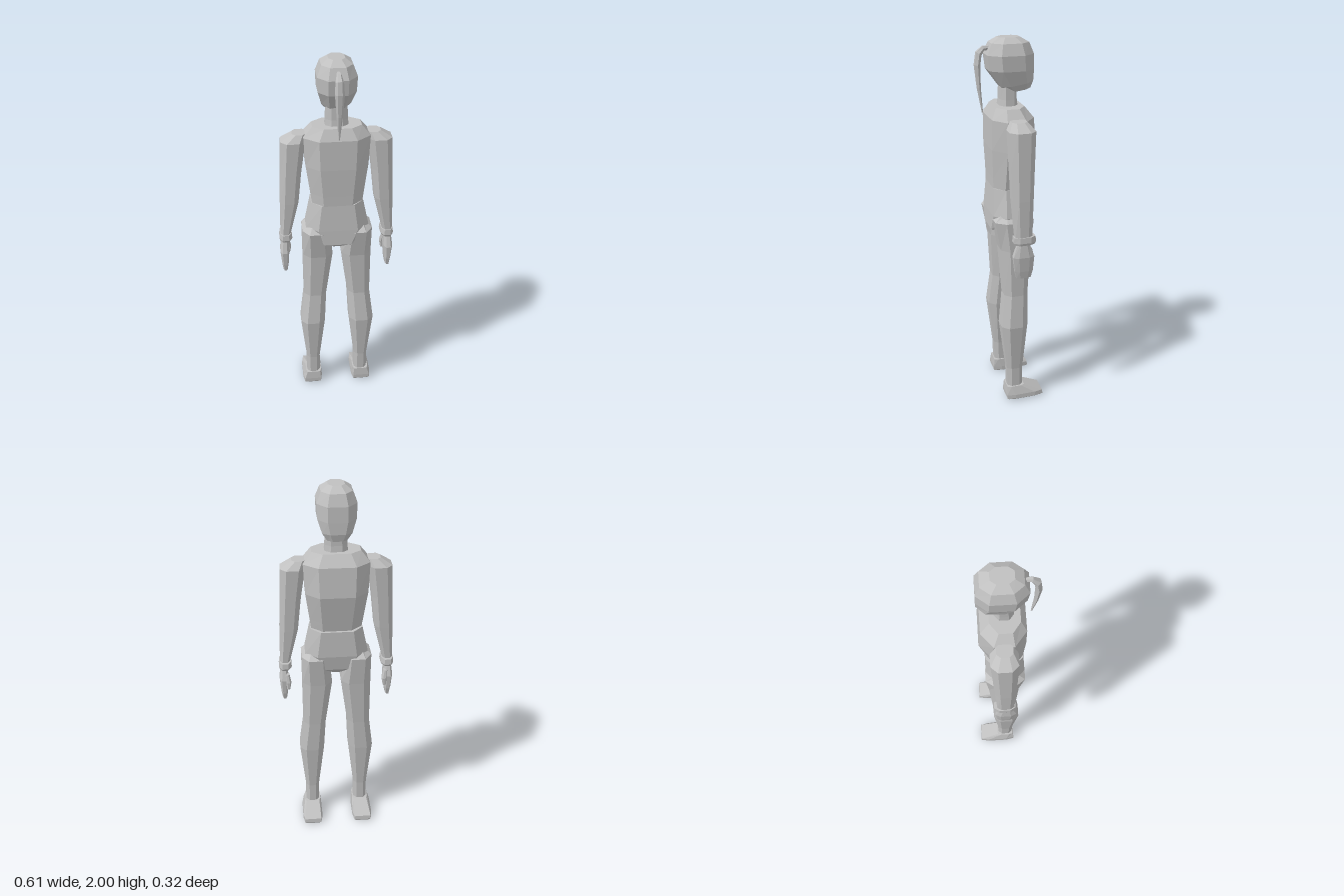
import * as THREE from 'three';

const material = new THREE.MeshStandardMaterial({ color: 0xc0c0c0, flatShading: true });
material.name = 'plain grey';

// Skin a list of closed rings (bottom to top) and cap both ends.
function loft(name, rings) {
  const pos = [];
  const tri = (a, b, c) => [a, b, c].forEach((p) => pos.push(p.x, p.y, p.z));
  const n = rings[0].length;
  const mid = (r) => r.reduce((m, p) => m.add(p), new THREE.Vector3()).divideScalar(n);
  const first = rings[0], last = rings[rings.length - 1];
  const lo = mid(first), hi = mid(last);
  for (let i = 0; i < n; i++) {
    const j = (i + 1) % n;
    for (let k = 0; k < rings.length - 1; k++) {
      const a = rings[k], b = rings[k + 1];
      tri(a[i], a[j], b[j]);
      tri(a[i], b[j], b[i]);
    }
    tri(lo, first[j], first[i]);
    tri(hi, last[i], last[j]);
  }
  const g = new THREE.BufferGeometry();
  g.setAttribute('position', new THREE.Float32BufferAttribute(pos, 3));
  g.computeVertexNormals();
  const mesh = new THREE.Mesh(g, material);
  mesh.name = name;
  return mesh;
}

// Octagonal ring: x range, z range, flat share of each side, tilt along z.
function oct([y, x0, x1, z0, z1, tilt = 0], kx, kz, side = 1) {
  const cx = side * (x0 + x1) / 2, cz = (z0 + z1) / 2;
  const hx = (x1 - x0) / 2, hz = (z1 - z0) / 2;
  return [[1, kz], [1, -kz], [kx, -1], [-kx, -1], [-1, -kz], [-1, kz], [-kx, 1], [kx, 1]]
    .map(([u, v]) => new THREE.Vector3(cx + u * hx, y + tilt * v * hz, cz + v * hz));
}
const body = (name, rows, kx = 0.5, kz = 0.5, side = 1) =>
  loft(name, rows.map((r) => oct(r, kx, kz, side)));
// Symmetric rows: y, half width, z range, tilt
const centred = (rows) => rows.map(([y, w, ...z]) => [y, -w, w, ...z]);

export function createModel() {
  const model = new THREE.Group();
  model.name = 'figure';

  model.add(
    body('head', centred([
      [1.742, 0.048, -0.12, 0.0, -0.15],
      [1.775, 0.072, -0.13, 0.035, -0.15],
      [1.845, 0.093, -0.13, 0.095],
      [1.92, 0.096, -0.128, 0.105],
      [1.975, 0.075, -0.107, 0.082],
      [2.0, 0.04, -0.063, 0.042],
    ]), 0.5, 0.5),
    body('neck', centred([
      [1.64, 0.06, -0.055, 0.045],
      [1.70, 0.055, -0.048, 0.036],
      [1.78, 0.052, -0.048, 0.034],
    ])),
    body('chest', centred([
      [1.25, 0.13, -0.088, 0.088],
      [1.31, 0.138, -0.1, 0.09],
      [1.46, 0.158, -0.13, 0.097],
      [1.615, 0.166, -0.118, 0.097],
      [1.67, 0.122, -0.075, 0.07],
    ]), 0.56, 0.45),
    body('hips', centred([
      [0.985, 0.03, -0.05, 0.05],
      [1.025, 0.11, -0.09, 0.1],
      [1.11, 0.165, -0.105, 0.097],
      [1.255, 0.135, -0.102, 0.088],
    ]), 0.62, 0.45),
  );

  // Ponytail: z, y, half width, thickness direction (z, y)
  const tail = [
    [0.122, 1.635, 0.003, 0.003, 0],
    [0.139, 1.76, 0.015, 0.009, -0.001],
    [0.146, 1.87, 0.023, 0.014, 0.001],
    [0.138, 1.925, 0.02, 0.013, 0.008],
    [0.115, 1.95, 0.013, 0.004, 0.011],
    [0.085, 1.95, 0.01, 0, 0.01],
  ];
  model.add(loft('ponytail', tail.map(([z, y, w, tz, ty]) =>
    [[1, 0], [0.5, -1], [-0.5, -1], [-1, 0], [-0.5, 1], [0.5, 1]]
      .map(([u, v]) => new THREE.Vector3(u * w, y + v * ty, z + v * tz)))));

  for (const side of [1, -1]) {
    const label = side > 0 ? 'left' : 'right';
    const limb = (part, rows, kx, kz) => model.add(body(label + part, rows, kx, kz, side));

    limb('Arm', [
      [1.05, 0.247, 0.298, -0.055, 0.032],
      [1.25, 0.198, 0.293, -0.065, 0.042],
      [1.42, 0.18, 0.285, -0.072, 0.047],
      [1.59, 0.155, 0.278, -0.08, 0.052],
      [1.627, 0.15, 0.22, -0.05, 0.028],
    ]);
    limb('Cuff', [
      [1.018, 0.243, 0.302, -0.068, 0.036],
      [1.03, 0.237, 0.305, -0.075, 0.041],
      [1.06, 0.24, 0.302, -0.072, 0.039],
    ]);
    limb('Hand', [
      [0.83, 0.268, 0.291, -0.05, 0.026],
      [0.87, 0.262, 0.297, -0.06, 0.035],
      [0.95, 0.256, 0.304, -0.066, 0.044],
      [1.025, 0.26, 0.294, -0.04, 0.02],
    ]);
    limb('Thumb', [
      [0.9, 0.25, 0.267, -0.07, -0.045],
      [0.94, 0.243, 0.27, -0.072, -0.04],
      [0.985, 0.252, 0.275, -0.06, -0.03],
    ]);
    limb('Leg', [
      [0.08, 0.103, 0.178, -0.05, 0.036],
      [0.2, 0.102, 0.178, -0.05, 0.04],
      [0.48, 0.07, 0.206, -0.073, 0.072],
      [0.665, 0.06, 0.183, -0.077, 0.052],
      [0.93, 0.024, 0.183, -0.093, 0.068],
      [1.09, 0.04, 0.184, -0.108, 0.098],
      [1.13, 0.1, 0.14, -0.055, 0.055],
    ]);
    limb('Foot', [
      [0, 0.105, 0.19, -0.155, 0.035],
      [0.012, 0.09, 0.203, -0.163, 0.045],
      [0.036, 0.09, 0.202, -0.16, 0.046],
      [0.085, 0.096, 0.186, -0.055, 0.042],
    ], 0.84, 0.55);
  }
  return model;
}
